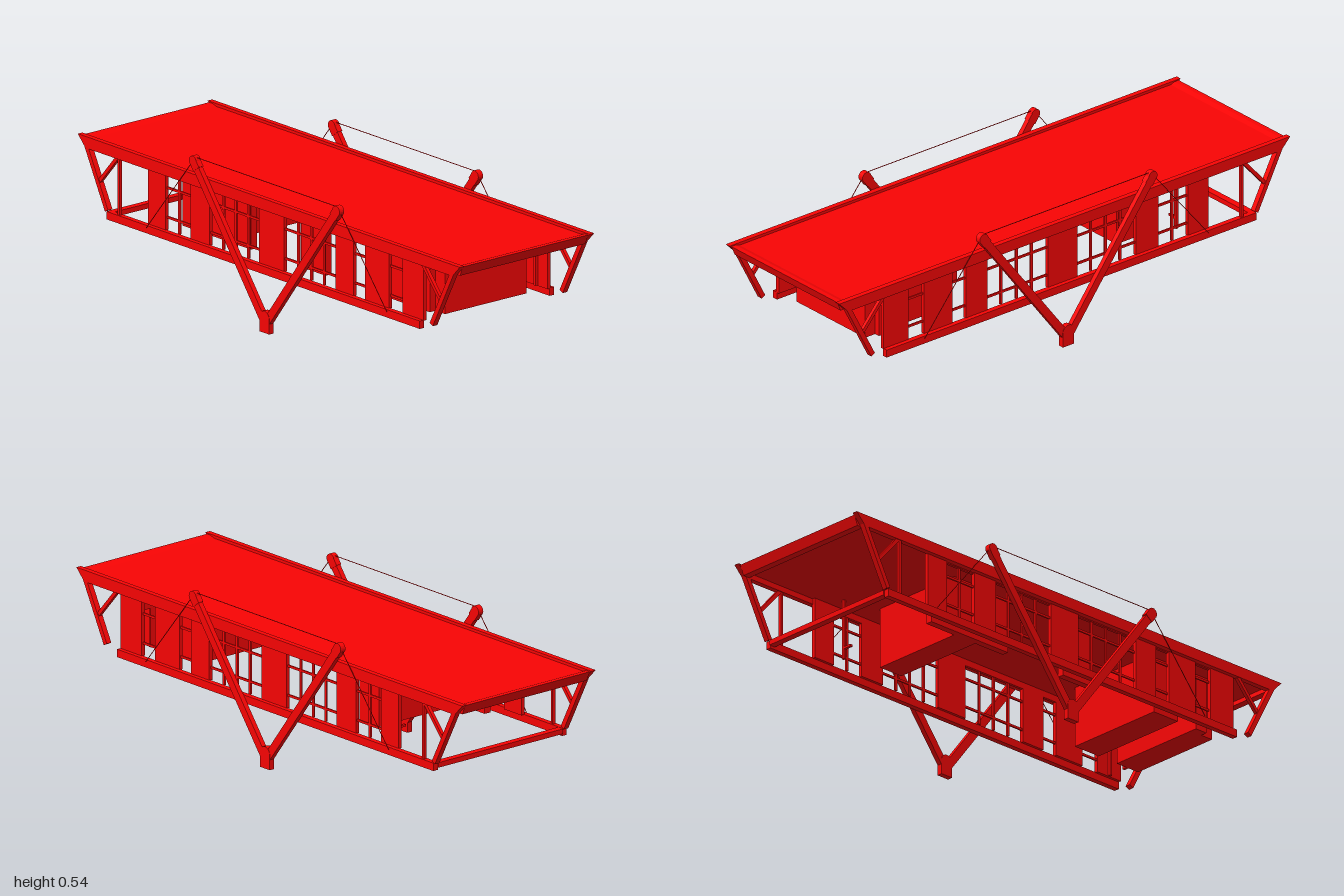
import * as THREE from 'three';

export function createModel() {
  const model = new THREE.Group();
  model.name = 'suspendedDeckCabin';
  const mat = new THREE.MeshStandardMaterial({ color: 0xfa0404, flatShading: true, side: THREE.DoubleSide });

  const add = (name, geo, parent = model) => {
    const mesh = new THREE.Mesh(geo, mat);
    mesh.name = name;
    parent.add(mesh);
    return mesh;
  };

  // Box given by its limits on each axis
  const block = (name, x0, x1, y0, y1, z0, z1, parent) => {
    const m = add(name, new THREE.BoxGeometry(x1 - x0, y1 - y0, Math.abs(z1 - z0)), parent);
    m.position.set((x0 + x1) / 2, (y0 + y1) / 2, (z0 + z1) / 2);
  };

  // Square beam in an x-y plane, from a to b
  const beam = (name, a, b, width, depth, z, parent) => {
    const dx = b[0] - a[0], dy = b[1] - a[1];
    const m = add(name, new THREE.BoxGeometry(Math.hypot(dx, dy), width, depth), parent);
    m.position.set((a[0] + b[0]) / 2, (a[1] + b[1]) / 2, z);
    m.rotation.z = Math.atan2(dy, dx);
  };

  // Outline in x-y, extruded from z0 to z1
  const plate = (name, pts, z0, z1) => {
    const shape = new THREE.Shape(pts.map(p => new THREE.Vector2(...p)));
    const m = add(name, new THREE.ExtrudeGeometry(shape, { depth: z1 - z0, bevelEnabled: false }));
    m.position.z = z0;
  };

  // Disc whose axis runs along z
  const disc = (name, radius, depth, x, y, z, parent) => {
    const m = add(name, new THREE.CylinderGeometry(radius, radius, depth, 20), parent);
    m.position.set(x, y, z);
    m.rotation.x = Math.PI / 2;
  };

  // Roof: deck, side fascias with raked ends, end beams
  block('roofDeck', -0.965, 0.965, 0.446, 0.457, -0.28, 0.28);
  for (const z of [-0.3, 0.28]) {
    plate('roofFascia', [[-1, 0.467], [-0.96, 0.426], [0.96, 0.426], [1, 0.467]], z, z + 0.02);
  }
  for (const s of [-1, 1]) {
    plate('roofEndBeam', [[s * 0.992, 0.463], [s * 0.977, 0.428], [s * 0.95, 0.428], [s * 0.956, 0.457], [s * 0.974, 0.463]], -0.28, 0.28);
  }

  // Lower frame
  block('lowerCrossBar', -0.855, -0.83, 0.207, 0.225, -0.28, 0.28);

  // Wall panels and the windows between them
  const panels = [[-0.65, -0.56], [-0.43, -0.33], [-0.07, 0.06], [0.33, 0.425], [0.485, 0.61], [0.68, 0.79]];
  const windows = [[-0.56, -0.43, 1], [-0.33, -0.07, 3], [0.06, 0.33, 3], [0.425, 0.485, 0], [0.61, 0.68, 0]];

  for (const s of [-1, 1]) {
    const side = new THREE.Group();
    side.name = s > 0 ? 'frontSide' : 'backSide';
    model.add(side);
    const zr = s * 0.29;

    block('lowerRail', -0.85, 0.79, 0.198, 0.226, s * 0.28, s * 0.3, side);
    for (const [x0, x1] of panels) block('wallPanel', x0, x1, 0.224, 0.446, s * 0.27, s * 0.284, side);

    for (const [x0, x1, bars] of windows) {
      block('windowHead', x0, x1, 0.422, 0.446, s * 0.27, s * 0.28, side);
      for (const y of [0.27, 0.375]) block('windowRail', x0, x1, y - 0.004, y + 0.004, s * 0.272, s * 0.278, side);
      for (let i = 1; i <= bars; i++) {
        const x = x0 + (x1 - x0) * i / (bars + 1);
        block('windowBar', x - 0.005, x + 0.005, 0.225, 0.425, s * 0.272, s * 0.278, side);
      }
    }

    // Raked end struts with their braces
    for (const e of [-1, 1]) {
      beam('endStrut', [e * 0.96, 0.44], [e * 0.85, 0.228], 0.018, 0.02, zr, side);
      beam('endBrace', [e * 0.9, 0.315], [e * 0.8, 0.428], 0.013, 0.013, zr, side);
    }
    block('endPost', -0.796, -0.786, 0.22, 0.43, zr - 0.006, zr + 0.006, side);

    // V support with foot, caps and stay wires
    const v = new THREE.Group();
    v.name = 'vSupport';
    side.add(v);
    const z = s * 0.31;
    block('supportFoot', -0.025, 0.025, 0, 0.055, z - 0.01, z + 0.01, v);
    disc('supportHub', 0.025, 0.02, 0, 0.053, z, v);
    for (const e of [-1, 1]) {
      beam('supportArm', [e * 0.005, 0.035], [e * 0.375, 0.52], 0.03, 0.018, z, v);
      beam('supportCap', [e * 0.357, 0.497], [e * 0.375, 0.521], 0.036, 0.021, z, v);
      disc('supportCapEnd', 0.019, 0.021, e * 0.375, 0.522, z, v);
      beam('stayWire', [e * 0.38, 0.525], [e * 0.63, 0.222], 0.002, 0.002, z, v);
    }
    beam('topWire', [-0.375, 0.535], [0.375, 0.535], 0.002, 0.002, z, v);
  }

  // Inner compartments between the two side corridors
  for (const [x0, x1] of [[0.685, 0.785], [0.487, 0.6], [-0.43, -0.33]]) {
    block('compartment', x0, x1, 0.226, 0.446, -0.18, 0.183);
  }
  // Corridor partitions
  for (const [x0, x1] of [[-0.56, -0.33], [-0.33, -0.2], [0.06, 0.19], [0.487, 0.6], [0.685, 0.735]]) {
    block('corridorPartition', x0, x1, 0.226, 0.424, 0.183, 0.208);
  }
  // Doorway on the back corridor
  block('doorHeader', 0.73, 0.74, 0.365, 0.446, -0.27, -0.18);
  block('doorPost', 0.73, 0.74, 0.226, 0.446, -0.2, -0.18);
  block('doorJamb', 0.73, 0.74, 0.226, 0.446, -0.28, -0.26);
  // Slim post with a short rail further along the corridor
  block('corridorPost', -0.57, -0.56, 0.226, 0.446, -0.221, -0.211);
  block('corridorPostRail', -0.57, -0.56, 0.262, 0.27, -0.211, -0.18);

  return model;
}
